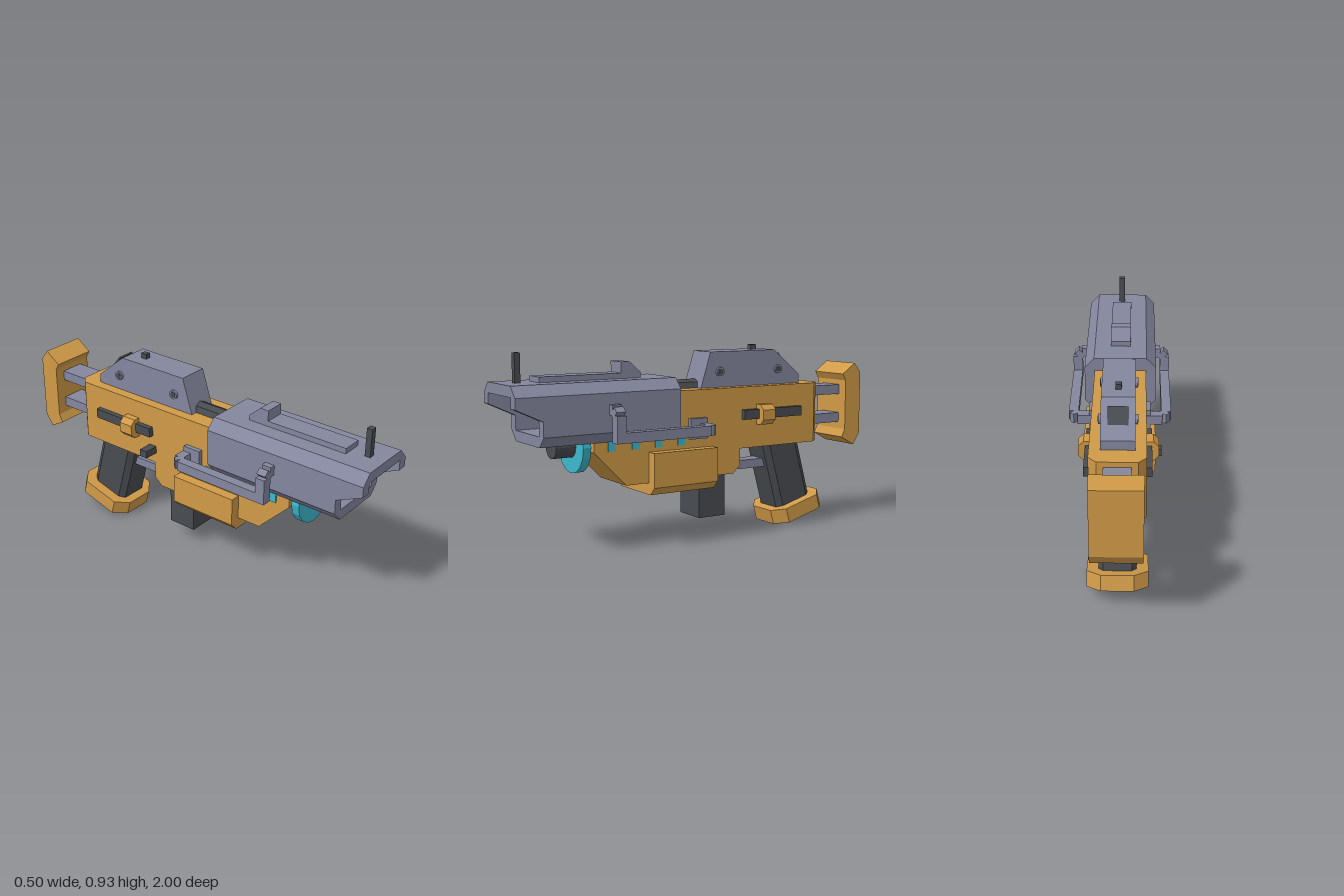
import * as THREE from 'three';

const mat = (name, color) => {
  const m = new THREE.MeshStandardMaterial({ color });
  m.name = name;
  return m;
};

export function createModel() {
  const root = new THREE.Group();
  root.name = 'blaster';
  const grey = mat('lavender grey', 0x84869e);
  const orange = mat('ochre orange', 0xd09a48);
  const dark = mat('charcoal', 0x484b50);
  const cyan = mat('cyan', 0x3cb8cc);

  const add = (name, geo, material, parent = root) => {
    const m = new THREE.Mesh(geo, material);
    m.name = name;
    parent.add(m);
    return m;
  };
  const shape = (pts) => new THREE.Shape(pts.map(([a, b]) => new THREE.Vector2(a, b)));
  const extrude = (s, depth) => new THREE.ExtrudeGeometry(s, { depth, bevelEnabled: false });
  // side outline in (z, y), extruded across x
  const side = (pts, half) => extrude(shape(pts), half * 2).rotateY(-Math.PI / 2).translate(half, 0, 0);
  // cross-section in (x, y), extruded along z
  const section = (pts, z0, z1) => extrude(shape(pts), z1 - z0).translate(0, 0, z0);
  // plan outline in (x, z), extruded upward
  const plan = (pts, y0, y1) =>
    extrude(shape(pts.map(([x, z]) => [x, -z])), y1 - y0).rotateX(-Math.PI / 2).translate(0, y0, 0);
  const box = (x0, x1, y0, y1, z0, z1) =>
    new THREE.BoxGeometry(x1 - x0, y1 - y0, z1 - z0).translate((x0 + x1) / 2, (y0 + y1) / 2, (z0 + z1) / 2);
  // faceted rod along z
  const rod = (r, y, z0, z1, sides) => {
    const g = new THREE.CylinderGeometry(r, r, z1 - z0, sides).rotateX(Math.PI / 2)
      .translate(0, y, (z0 + z1) / 2).toNonIndexed();
    g.computeVertexNormals();
    return g;
  };
  const octagon = (hx, hz, cx, cz) => [
    [-hx, -hz + cz], [-hx + cx, -hz], [hx - cx, -hz], [hx, -hz + cz],
    [hx, hz - cz], [hx - cx, hz], [-hx + cx, hz], [-hx, hz - cz]];

  // main body with chamfered rear corners, and the lower fore-end
  add('receiver', plan([[-0.127, 0.165], [0.127, 0.165], [0.127, -0.675], [0.09, -0.715],
    [-0.09, -0.715], [-0.127, -0.675]], 0.43, 0.735), orange);
  add('foreEnd', side([[0.165, 0.525], [0.6, 0.525], [0.6, 0.475], [0.435, 0.308], [-0.17, 0.308],
    [-0.21, 0.345], [-0.21, 0.44], [0.165, 0.44]], 0.1265), orange);
  add('lowerCradle', section([[-0.177, 0.43], [-0.177, 0.29], [-0.14, 0.252], [0.14, 0.252],
    [0.177, 0.29], [0.177, 0.455], [0.12, 0.455], [0.12, 0.43]], -0.045, 0.313), orange);
  add('magazine', box(-0.087, 0.087, 0.095, 0.32, -0.145, 0.005), dark);

  // hollow barrel shroud: closed rear section, then an open-bottomed nose
  const outer = shape([[-0.13, 0.8], [-0.177, 0.75], [-0.177, 0.57], [-0.13, 0.52],
    [0.13, 0.52], [0.177, 0.57], [0.177, 0.75], [0.13, 0.8]]);
  outer.holes.push(new THREE.Path([[-0.128, 0.57], [-0.128, 0.75], [0.128, 0.75], [0.128, 0.57]]
    .map(([x, y]) => new THREE.Vector2(x, y))));
  add('shroud', extrude(outer, 0.705).translate(0, 0, 0.165), grey);
  const nose = section([[-0.177, 0.64], [-0.128, 0.64], [-0.128, 0.75], [0.128, 0.75], [0.128, 0.64],
    [0.177, 0.64], [0.177, 0.75], [0.13, 0.8], [-0.13, 0.8], [-0.177, 0.75]], 0.87, 1);
  const p = nose.attributes.position;
  for (let i = 0; i < p.count; i++) if (p.getZ(i) > 0.99 && p.getY(i) < 0.65) p.setY(i, 0.7);
  nose.computeVertexNormals();
  add('shroudNose', nose, grey);
  add('shroudBack', box(-0.128, 0.128, 0.57, 0.75, 0.165, 0.19), grey);
  add('shroudCore', box(-0.128, 0.128, 0.57, 0.75, 0.19, 0.5), dark);

  // top rib, sight ramp and front post
  add('topRib', box(-0.05, 0.05, 0.79, 0.826, 0.31, 0.83), grey);
  add('sightRamp', side([[0.415, 0.82], [0.415, 0.878], [0.37, 0.878], [0.31, 0.826], [0.31, 0.82]], 0.05), grey);
  add('frontPost', box(-0.015, 0.015, 0.79, 0.935, 0.903, 0.93), dark);

  // barrel, glowing ring and exposed tube
  add('barrel', rod(0.057, 0.5, 0.5, 0.755, 16), dark);
  add('energyRing', rod(0.133, 0.502, 0.617, 0.657, 16), cyan);
  add('exposedTube', rod(0.045, 0.732, -0.06, 0.17, 8), dark);

  // upper housing with rear screen
  add('upperHousing', side([[-0.01, 0.73], [-0.067, 0.91], [-0.455, 0.91], [-0.614, 0.78], [-0.614, 0.73]], 0.076), grey);
  const screen = add('rearScreen', new THREE.BoxGeometry(0.09, 0.008, 0.11), dark);
  screen.position.set(0, 0.846, -0.536);
  screen.rotation.x = -0.885;
  add('rearPost', box(-0.014, 0.014, 0.9, 0.935, -0.385, -0.352), dark);

  // square bar between two points
  const bar = (name, a, b, w, parent) => {
    const va = new THREE.Vector3(...a), vb = new THREE.Vector3(...b);
    const m = add(name, new THREE.BoxGeometry(w, w, va.distanceTo(vb)), grey, parent);
    m.position.copy(va).add(vb).multiplyScalar(0.5);
    m.lookAt(vb);
  };

  for (const s of [1, -1]) {
    const span = (a, b) => (s > 0 ? [a, b] : [-b, -a]);
    // carrying handle with softened corners
    const handle = new THREE.Group();
    handle.name = s > 0 ? 'leftHandle' : 'rightHandle';
    root.add(handle);
    const path = [[0.15, 0.674, 0.522], [0.205, 0.674, 0.522], [0.228, 0.651, 0.522], [0.228, 0.55, 0.522],
      [0.228, 0.55, 0.04], [0.208, 0.55, 0.016], [0.13, 0.55, 0.016]].map(([x, y, z]) => [x * s, y, z]);
    for (let i = 0; i < path.length - 1; i++) bar('handleBar', path[i], path[i + 1], 0.048, handle);
    add('handleFoot', box(...span(0.204, 0.252), 0.526, 0.574, 0.5, 0.546), grey, handle);
    add('handleMount', box(...span(0.12, 0.15), 0.5, 0.6, -0.003, 0.092), grey, handle);
    // cyan vents
    for (const z of [0.51, 0.385, 0.26, 0.135])
      add('vent', box(...span(0.12, 0.132), 0.475, 0.522, z - 0.019, z + 0.019), cyan);
    // slide rail and knob
    add('slideRail', box(...span(0.12, 0.153), 0.575, 0.623, -0.575, -0.22), dark);
    const knob = [[0.12, 0.545], [0.16, 0.545], [0.185, 0.57], [0.185, 0.62], [0.16, 0.645], [0.12, 0.645]];
    add('slideKnob', section(knob.map(([x, y]) => [x * s, y]), -0.385, -0.31), orange);
    // housing screws
    for (const z of [-0.12, -0.475]) {
      const ring = new THREE.CylinderGeometry(0.023, 0.023, 0.024, 10).rotateZ(Math.PI / 2);
      add('screw', ring, grey).position.set(s * 0.076, 0.812, z);
      const cap = new THREE.CylinderGeometry(0.015, 0.015, 0.004, 10).rotateZ(Math.PI / 2);
      add('screwCentre', cap, dark).position.set(s * 0.088, 0.812, z);
    }
  }
  add('releaseButton', box(-0.2, -0.12, 0.485, 0.522, -0.242, -0.2), dark);

  // trigger guard
  add('triggerGuard', side([[-0.235, 0.44], [-0.235, 0.335], [-0.27, 0.308], [-0.45, 0.308], [-0.45, 0.352],
    [-0.28, 0.352], [-0.262, 0.365], [-0.262, 0.44]], 0.04), grey);

  // raked grip with an eight-sided foot
  const grip = new THREE.Group();
  grip.name = 'grip';
  grip.position.set(0, 0.085, -0.605);
  grip.rotation.x = 0.27;
  root.add(grip);
  add('gripShaft', plan(octagon(0.087, 0.108, 0.022, 0.03), 0, 0.41), dark, grip).position.z = 0.006;
  add('gripFoot', plan(octagon(0.14, 0.158, 0.065, 0.055), -0.038, 0.038), orange, grip);

  // shoulder stock on two rods
  for (const y of [0.535, 0.685])
    add('stockRod', box(-0.061, 0.061, y - 0.025, y + 0.025, -0.92, -0.7), grey);
  add('buttPlate', side([[-0.88, 0.77], [-0.96, 0.825], [-1, 0.775], [-1, 0.45], [-0.96, 0.39],
    [-0.88, 0.435], [-0.9, 0.475], [-0.9, 0.735]], 0.114), orange);

  return root;
}
